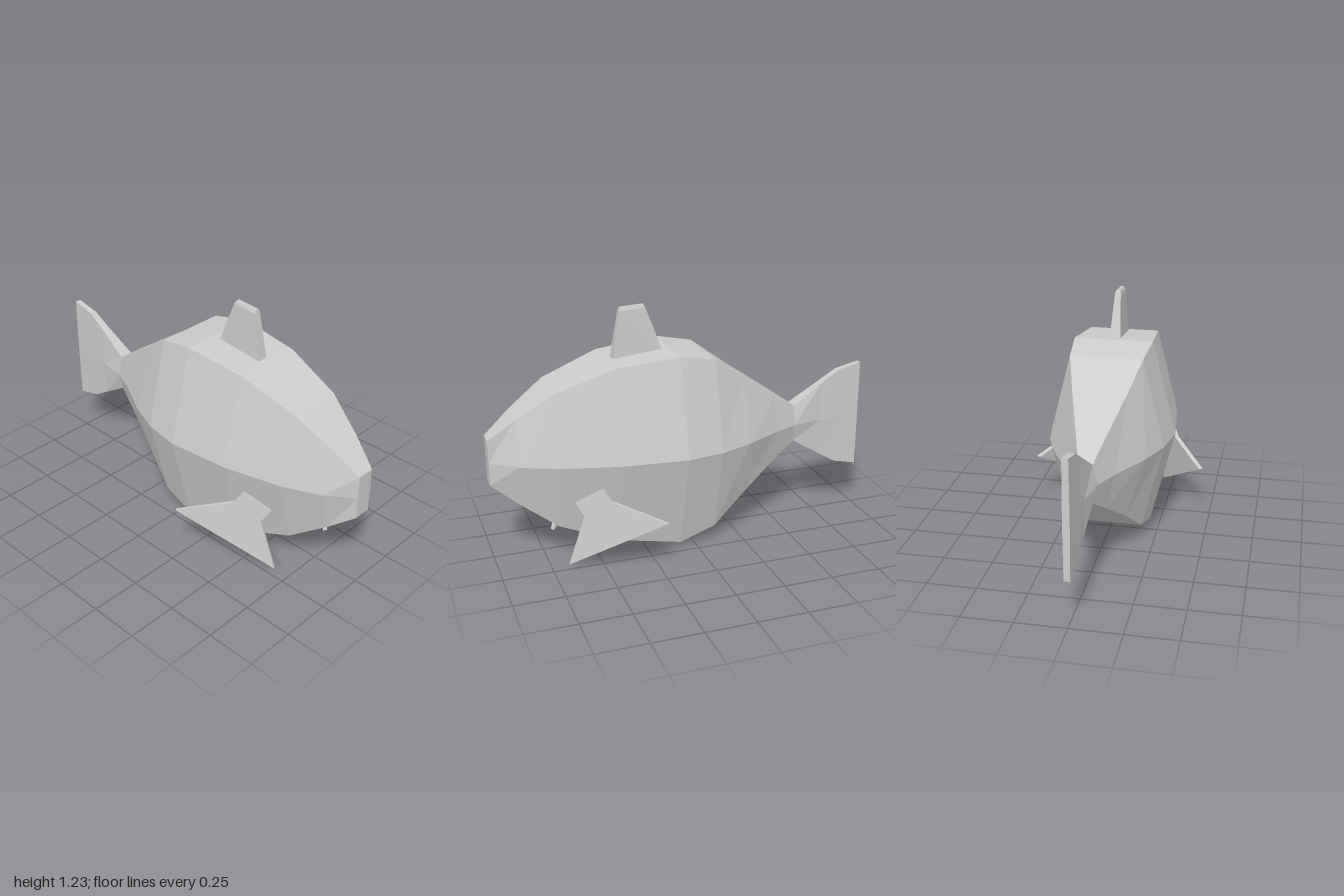
import * as THREE from 'three';

const material = new THREE.MeshStandardMaterial({ color: 0xcccccc, flatShading: true });

// Skins a list of rings (counterclockwise seen from the first end) and caps both ends.
function loft(name, rings) {
  const pos = [];
  const tri = (a, b, c) => pos.push(...a, ...b, ...c);
  const n = rings[0].length;
  for (let i = 0; i < rings.length - 1; i++) {
    for (let j = 0; j < n; j++) {
      const k = (j + 1) % n;
      const a = rings[i][j], b = rings[i][k], c = rings[i + 1][k], d = rings[i + 1][j];
      tri(a, d, c);
      tri(a, c, b);
    }
  }
  const first = rings[0], last = rings[rings.length - 1];
  for (let j = 1; j < n - 1; j++) {
    tri(first[0], first[j], first[j + 1]);
    tri(last[0], last[j + 1], last[j]);
  }
  const geometry = new THREE.BufferGeometry();
  geometry.setAttribute('position', new THREE.Float32BufferAttribute(pos, 3));
  geometry.computeVertexNormals();
  const mesh = new THREE.Mesh(geometry, material);
  mesh.name = name;
  return mesh;
}

// Six-sided body section: flat back and belly, widest at mid height.
const MID = 0.535;
const section = ([z, top, bottom, edge, mid]) => [
  [edge, top, z], [-edge, top, z], [-mid, MID, z],
  [-edge, bottom, z], [edge, bottom, z], [mid, MID, z],
];

// Thin slanted side fin, outlined in z and y and leaning outward toward the back.
function sideFin(side) {
  const outline = [[0.235, 0.28], [0.465, 0.36], [0.5, 0.42], [0.62, 0.34], [0.585, 0.275], [0.665, 0.015]];
  const shape = new THREE.Shape(outline.map(([z, y]) => new THREE.Vector2(-side * z, y)));
  const geometry = new THREE.ExtrudeGeometry(shape, { depth: 0.022, bevelEnabled: false });
  const p = geometry.attributes.position;
  for (let i = 0; i < p.count; i++) {
    const z = -side * p.getX(i), y = p.getY(i), w = p.getZ(i) - 0.022;
    const x = 0.213 - 0.123 * (y - 0.01) - 0.653 * (z - 0.66);
    p.setXYZ(i, side * (x + 0.83 * w), y + 0.1 * w, z + 0.54 * w);
  }
  geometry.computeVertexNormals();
  const mesh = new THREE.Mesh(geometry, material);
  mesh.name = side > 0 ? 'leftFin' : 'rightFin';
  return mesh;
}

export function createModel() {
  const group = new THREE.Group();
  group.name = 'fish';

  // Body and tail: z, top, bottom, half width of back and belly, half width at mid height
  const stations = [
    [1, 0.65, 0.42, 0.045, 0.047],
    [0.87, 0.755, 0.32, 0.088, 0.143],
    [0.69, 0.88, 0.195, 0.138, 0.222],
    [0.4, 0.985, 0.09, 0.18, 0.295],
    [0.08, 1.02, 0.035, 0.2, 0.325],
    [-0.11, 0.985, 0.09, 0.182, 0.293],
    [-0.28, 0.86, 0.22, 0.133, 0.226],
    [-0.48, 0.725, 0.357, 0.072, 0.115],
    [-0.61, 0.635, 0.44, 0.035, 0.057],
    [-0.77, 0.737, 0.342, 0.022, 0.029],
    [-0.87, 0.8, 0.28, 0.018, 0.022],
    [-1, 0.83, 0.25, 0.015, 0.017],
  ];
  group.add(loft('bodyAndTail', stations.map(section)));

  // Back fin: front z, front y, back z, back y, front half width, back half width
  const finLevels = [
    [0.322, 1.236, 0.203, 1.243, 0.009, 0.009],
    [0.327, 1.22, 0.195, 1.227, 0.017, 0.015],
    [0.37, 0.97, 0.108, 0.99, 0.027, 0.029],
  ];
  group.add(loft('backFin', finLevels.map(([zf, yf, zb, yb, wf, wb]) => [
    [wf, yf, zf], [wb, yb, zb], [-wb, yb, zb], [-wf, yf, zf],
  ])));

  for (const side of [1, -1]) group.add(sideFin(side));
  return group;
}
